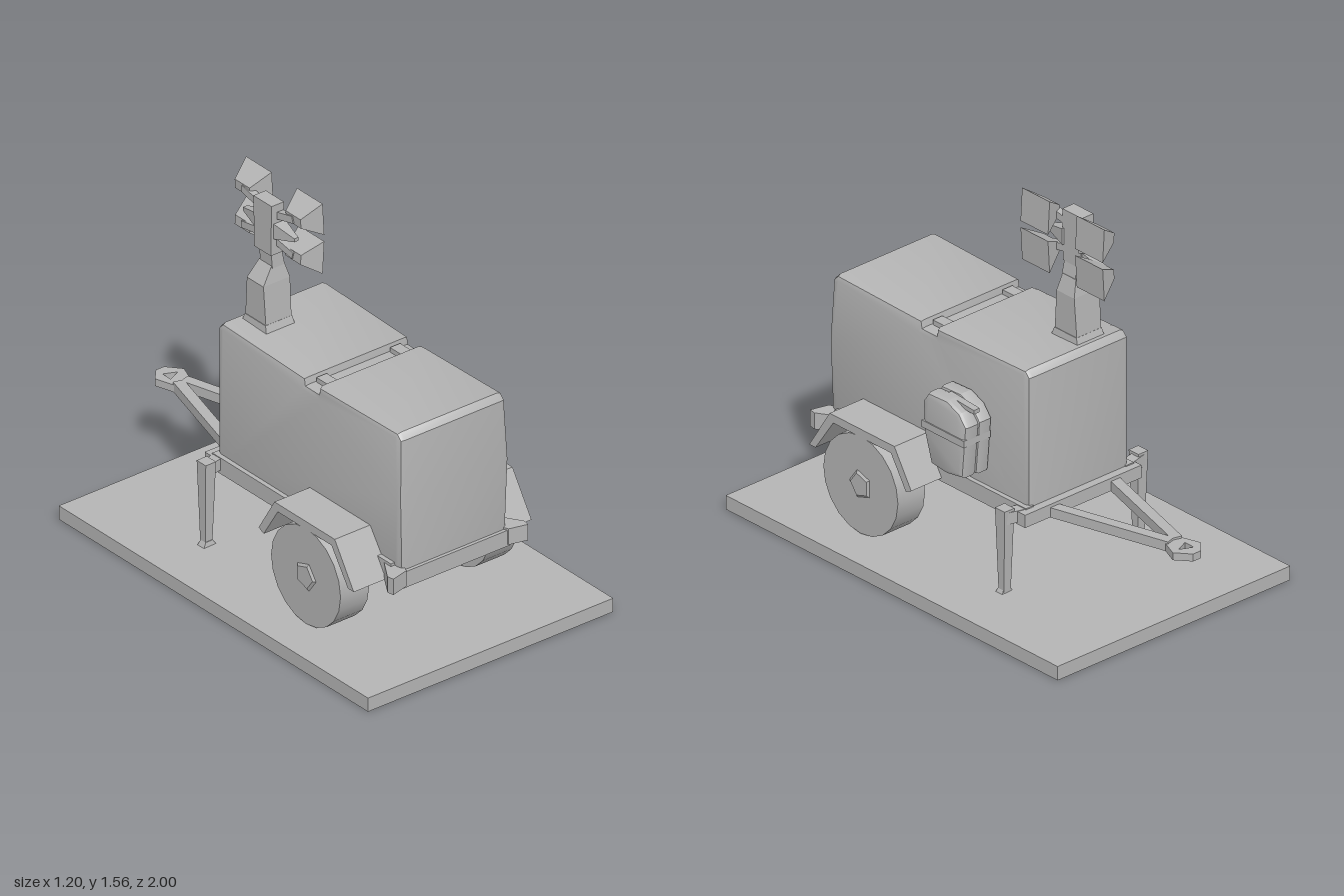
import * as THREE from 'three';
import { toCreasedNormals } from 'three/addons/utils/BufferGeometryUtils.js';

export function createModel() {
  const model = new THREE.Group();
  model.name = 'mobileLightTower';
  const grey = new THREE.MeshStandardMaterial({ color: 0xb4b4b4 });
  grey.name = 'plain grey';

  const add = (name, geometry, x = 0, y = 0, z = 0, crease = 0.45) => {
    const mesh = new THREE.Mesh(toCreasedNormals(geometry, crease), grey);
    mesh.name = name;
    mesh.position.set(x, y, z);
    model.add(mesh);
    return mesh;
  };

  // box between two corners
  const block = (name, x0, x1, y0, y1, z0, z1) =>
    add(name, new THREE.BoxGeometry(x1 - x0, y1 - y0, z1 - z0), (x0 + x1) / 2, (y0 + y1) / 2, (z0 + z1) / 2);

  // block standing on y = 0 whose top has another size and may be shifted
  const tapered = (w0, d0, w1, d1, h, shiftX = 0, shiftZ = 0) => {
    const g = new THREE.BoxGeometry(1, h, 1).translate(0, h / 2, 0);
    const p = g.attributes.position;
    for (let i = 0; i < p.count; i++) {
      const top = p.getY(i) > h / 2;
      p.setX(i, p.getX(i) * (top ? w1 : w0) + (top ? shiftX : 0));
      p.setZ(i, p.getZ(i) * (top ? d1 : d0) + (top ? shiftZ : 0));
    }
    return g;
  };

  // straight bar between two points
  const bar = (name, a, b, w, h) => {
    const from = new THREE.Vector3(...a), to = new THREE.Vector3(...b);
    const mesh = add(name, new THREE.BoxGeometry(w, h, from.distanceTo(to)));
    mesh.position.copy(from).add(to).multiplyScalar(0.5);
    mesh.lookAt(to);
  };

  // side outline (z, y) extruded across x, centred on x = 0
  const sideExtrude = (points, width, bevel = 0) => {
    const shape = new THREE.Shape(points.map(([z, y]) => new THREE.Vector2(z, y)));
    return new THREE.ExtrudeGeometry(shape, {
      depth: width - 2 * bevel, bevelEnabled: bevel > 0, bevelSize: bevel,
      bevelThickness: bevel, bevelOffset: -bevel, bevelSegments: 2,
    }).translate(0, 0, -(width / 2 - bevel)).rotateY(-Math.PI / 2);
  };

  // ground slab, slightly crowned in the middle
  const slab = new THREE.BoxGeometry(1.2, 0.06, 1.87, 2, 1, 2);
  const sp = slab.attributes.position;
  for (let i = 0; i < sp.count; i++) {
    if (sp.getY(i) > 0 && Math.abs(sp.getX(i)) < 0.1 && Math.abs(sp.getZ(i)) < 0.1) sp.setY(i, 0.045);
  }
  add('groundSlab', slab, 0, 0.03, 0.065);

  // housing with a slot across the roof
  const housing = sideExtrude([
    [0.75, 0.33], [0.78, 0.36], [0.785, 0.7], [0.775, 0.96], [0.75, 0.985],
    [0.275, 0.975], [0.27, 0.945], [0.195, 0.945], [0.19, 0.975],
    [-0.31, 0.99], [-0.335, 0.965], [-0.335, 0.36], [-0.31, 0.34],
  ], 0.53, 0.022);
  const hp = housing.attributes.position;
  for (let i = 0; i < hp.count; i++) {
    const y = hp.getY(i);
    hp.setX(i, hp.getX(i) * (y < 0.45 ? 0.97 : y > 0.9 ? 0.97 : 1.01));
  }
  add('housing', housing, 0, 0, 0, 0.6);
  for (const s of [-1, 1]) block('slotHinge', s * 0.18 - 0.025, s * 0.18 + 0.025, 0.93, 0.965, 0.2, 0.265);

  // chassis frame and bumper
  for (const s of [-1, 1]) {
    block('sideRail', s * 0.258 - 0.02, s * 0.258 + 0.02, 0.345, 0.415, -0.34, 0.74);
    const corner = new THREE.Shape([[0.2, 0.67], [0.26, 0.67], [0.335, 0.79], [0.33, 0.82], [0.25, 0.8]]
      .map(([x, z]) => new THREE.Vector2(s * x, -z)));
    add('bumperCorner', new THREE.ExtrudeGeometry(corner, { depth: 0.07, bevelEnabled: false })
      .rotateX(-Math.PI / 2), 0, 0.333, 0);
  }
  block('frontBumper', -0.26, 0.26, 0.325, 0.395, 0.73, 0.795);
  block('rearCrossBeam', -0.29, 0.31, 0.355, 0.41, -0.37, -0.32);

  // wheels and fenders
  const fender = [
    [0.71, 0.335], [0.595, 0.515], [0.23, 0.515], [0.135, 0.36],
    [0.165, 0.345], [0.25, 0.48], [0.575, 0.48], [0.675, 0.335],
  ];
  for (const s of [-1, 1]) {
    add('wheel', new THREE.CylinderGeometry(0.21, 0.21, 0.14, 20).rotateZ(Math.PI / 2), s * 0.365, 0.275, 0.42);
    add('hub', new THREE.CylinderGeometry(0.05, 0.065, 0.01, 5).rotateZ(-s * Math.PI / 2), s * 0.438, 0.275, 0.42);
    add('fender', sideExtrude(fender, 0.18), s * 0.345, 0, 0);
    block('axle', s < 0 ? -0.3 : 0, s < 0 ? 0 : 0.3, 0.25, 0.3, 0.395, 0.445);
  }

  // stabiliser legs on short outriggers
  for (const s of [-1, 1]) {
    bar('outrigger', [s * 0.24, 0.385, -0.32], [s * 0.36, 0.39, -0.295], 0.045, 0.05);
    add('stabiliserLeg', tapered(0.035, 0.03, 0.05, 0.055, 0.36), s * 0.345, 0.065, -0.293);
    add('stabiliserFoot', tapered(0.06, 0.04, 0.035, 0.03, 0.02), s * 0.345, 0.06, -0.29);
  }

  // drawbar and towing eye
  for (const s of [-1, 1]) bar('drawbar', [s * 0.165, 0.375, -0.34], [s * 0.015, 0.375, -0.87], 0.045, 0.042);
  const eye = new THREE.Shape([[-0.03, 0.84], [0.03, 0.84], [0.07, 0.94], [0.02, 1], [-0.02, 1], [-0.065, 0.95]]
    .map(([x, y]) => new THREE.Vector2(x, y)));
  eye.holes.push(new THREE.Path([[-0.02, 0.91], [-0.02, 0.96], [0.035, 0.935]]
    .map(([x, y]) => new THREE.Vector2(x, y))));
  add('towingEye', new THREE.ExtrudeGeometry(eye, { depth: 0.032, bevelEnabled: false })
    .rotateX(-Math.PI / 2), 0, 0.355, 0);

  // canister hung on the side, in two halves with a strap
  const canister = [
    [0.07, 0.485], [-0.02, 0.475], [-0.11, 0.49], [-0.13, 0.72], [-0.09, 0.77],
    [-0.02, 0.8], [0.085, 0.795], [0.115, 0.75], [0.11, 0.62],
  ];
  add('canisterInner', sideExtrude(canister, 0.065, 0.012), 0.293, 0, 0);
  add('canisterOuter', sideExtrude(canister.map(([z, y]) => [z, 0.64 + (y - 0.64) * 0.97]), 0.075, 0.018), 0.36, 0, 0);
  block('canisterStrap', 0.265, 0.402, 0.635, 0.665, -0.125, 0.113);
  bar('canisterHandle', [0.34, 0.785, 0.03], [0.34, 0.775, -0.13], 0.03, 0.018);

  // mast
  add('mastFoot', tapered(0.14, 0.15, 0.13, 0.125, 0.035), -0.1, 0.98, -0.22);
  add('mastBase', tapered(0.125, 0.125, 0.13, 0.1, 0.175), -0.1, 1.005, -0.22);
  add('mastShoulder', tapered(0.13, 0.1, 0.06, 0.075, 0.07, 0.015), -0.1, 1.18, -0.22);
  add('mastNeck', tapered(0.06, 0.075, 0.05, 0.07, 0.08, -0.01), -0.085, 1.24, -0.215);
  add('lampBracket', tapered(0.06, 0.1, 0.06, 0.11, 0.22), -0.095, 1.3, -0.225);
  for (const s of [-1, 1]) {
    add('crossArm', tapered(0.06, 0.07, 0.02, 0.015, 0.11).rotateX(s * Math.PI / 2), -0.085, 1.405, -0.225 + s * 0.045);
  }

  // four floodlights, narrow behind and flaring toward the lens
  for (const z of [-0.082, -0.39]) for (const y of [1.332, 1.49]) {
    const lamp = tapered(0.04, 0.09, 0.14, 0.155, 0.085).rotateZ(-Math.PI / 2);
    add('floodlight', lamp, -0.09, y, z).rotation.z = y > 1.4 ? 0.06 : -0.06;
    bar('lampArm', [-0.085, 1.41 + (y - 1.41) * 0.6, -0.225], [-0.08, y, z], 0.03, 0.03);
  }

  return model;
}
